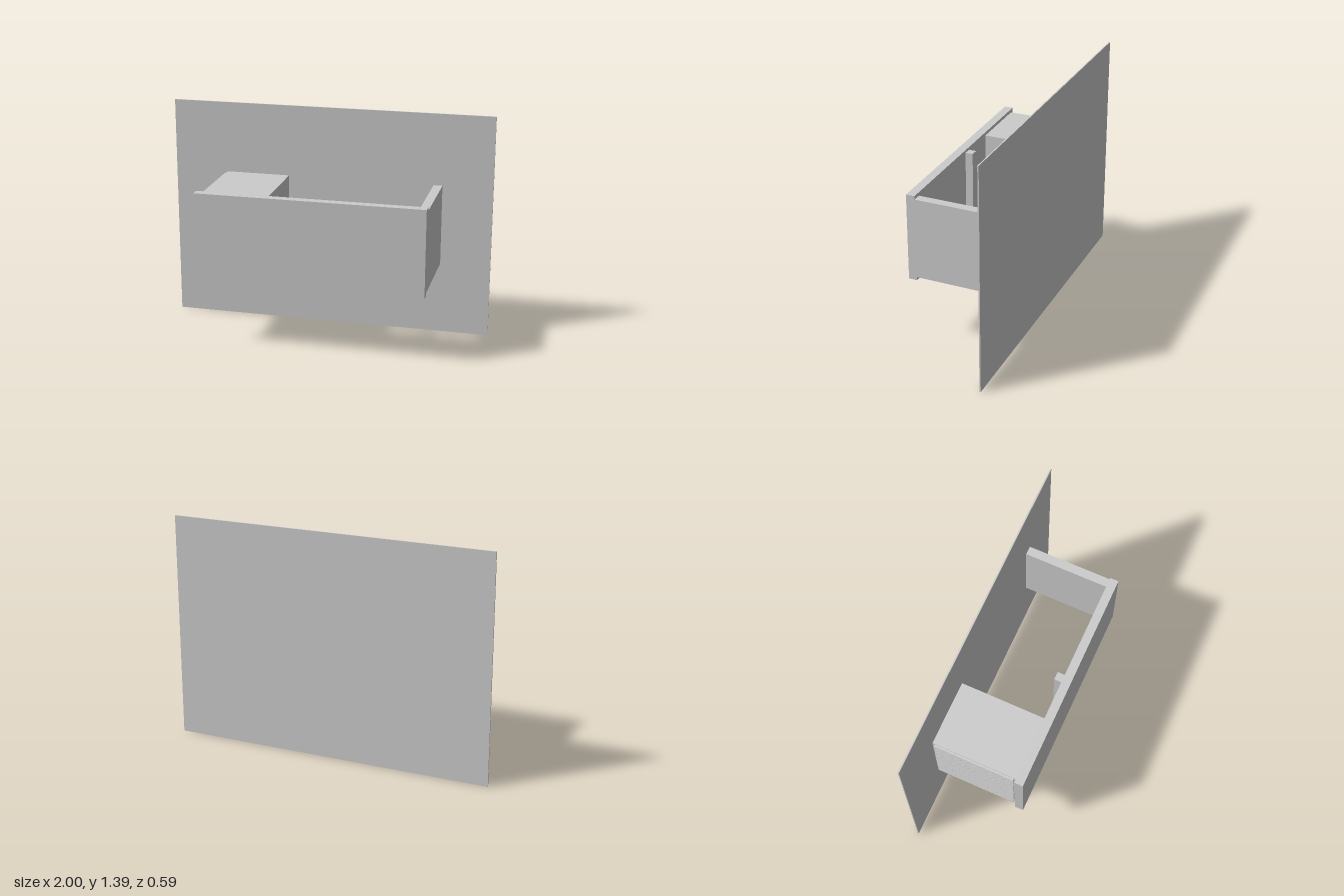
import * as THREE from 'three';

const material = new THREE.MeshStandardMaterial({ color: 0xcccccc, flatShading: true });

// Box given by its limits on each axis
function box(name, [x0, x1], [y0, y1], [z0, z1]) {
  const mesh = new THREE.Mesh(new THREE.BoxGeometry(x1 - x0, y1 - y0, z1 - z0), material);
  mesh.position.set((x0 + x1) / 2, (y0 + y1) / 2, (z0 + z1) / 2);
  mesh.name = name;
  return mesh;
}

export function createModel() {
  const model = new THREE.Group();
  model.name = 'wallUnit';

  // Thin wall sheet behind everything
  model.add(box('backPanel', [-1, 1], [0, 1.387], [-0.295, -0.287]));

  // Front board, housing on one side and support on the other
  model.add(box('frontPanel', [-0.692, 0.692], [0.427, 0.966], [0.242, 0.295]));
  model.add(box('housing', [-0.665, -0.267], [0.447, 0.945], [-0.283, 0.242]));
  model.add(box('sideSupport', [0.638, 0.692], [0.447, 0.945], [-0.283, 0.242]));
  model.add(box('centreRib', [-0.027, 0.023], [0.447, 0.949], [0.195, 0.242]));

  // Horizontal louvres on the outer face of the housing
  const louvres = new THREE.Group();
  louvres.name = 'louvres';
  const louvreCount = 21;
  for (let i = 0; i < louvreCount; i++) {
    const y = 0.46 + (0.472 * i) / (louvreCount - 1);
    louvres.add(box('louvre', [-0.679, -0.665], [y - 0.006, y + 0.006], [-0.27, 0.227]));
  }
  model.add(louvres);

  // Three strips under the housing, each with a row of small pins
  const strips = new THREE.Group();
  strips.name = 'connectorStrips';
  const pinCount = 24;
  for (const z of [0.068, -0.025, -0.114]) {
    strips.add(box('strip', [-0.65, -0.277], [0.432, 0.447], [z - 0.043, z + 0.043]));
    for (let i = 0; i < pinCount; i++) {
      const x = -0.643 + (0.359 * i) / (pinCount - 1);
      strips.add(box('pin', [x - 0.004, x + 0.004], [0.421, 0.432], [z - 0.004, z + 0.004]));
    }
  }
  model.add(strips);

  return model;
}
